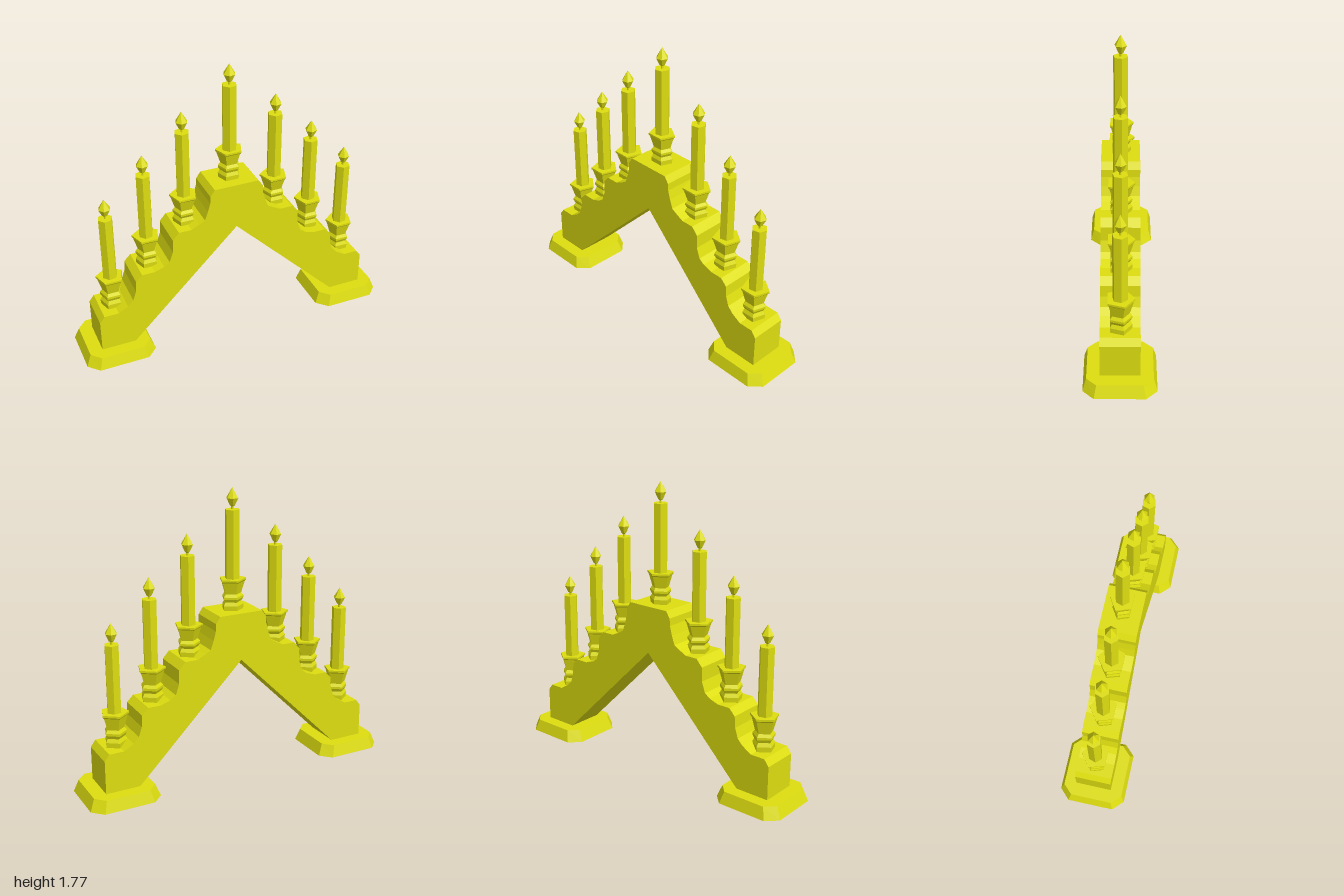
import * as THREE from 'three';

const yellow = new THREE.MeshStandardMaterial({ color: 0xdddd10 });
yellow.name = 'yellow';
yellow.flatShading = true;

// Faceted turned part from [radius, height] pairs
function turned(name, profile, sides, start) {
  const points = profile.map(([r, y]) => new THREE.Vector2(r, y));
  const mesh = new THREE.Mesh(new THREE.LatheGeometry(points, sides, start), yellow);
  mesh.name = name;
  return mesh;
}

// Stepped arch: half outline mirrored, extruded along z
function makeArch() {
  const outer = [
    [0.14, 1.04], [0.168, 1.0], [0.17, 0.955], [0.185, 0.9], [0.205, 0.845], [0.24, 0.825],
    [0.29, 0.8], [0.37, 0.8], [0.41, 0.755], [0.412, 0.67], [0.435, 0.605], [0.47, 0.58],
    [0.53, 0.56], [0.61, 0.56], [0.65, 0.52], [0.655, 0.45], [0.675, 0.39], [0.71, 0.355],
    [0.77, 0.32], [0.86, 0.32], [0.89, 0.28], [0.89, 0.07], [0.68, 0.07],
  ];
  const left = outer.map(([x, y]) => [-x, y]).reverse();
  const outline = [...outer, [0, 0.75], ...left].map(([x, y]) => new THREE.Vector2(x, y));
  const geometry = new THREE.ExtrudeGeometry(new THREE.Shape(outline), { depth: 0.23, bevelEnabled: false });
  geometry.translate(0, 0, -0.115);
  const arch = new THREE.Mesh(geometry, yellow);
  arch.name = 'steppedArch';
  return arch;
}

// Foot: octagonal slab, tapered towards the top
function makeFoot(side) {
  const w = 0.22, d = 0.212, c = 0.065;
  const corners = [
    [w - c, -d], [w, -d + c], [w, d - c], [w - c, d],
    [-w + c, d], [-w, d - c], [-w, -d + c], [-w + c, -d],
  ].map(([x, z]) => new THREE.Vector2(x, z));
  const geometry = new THREE.ExtrudeGeometry(new THREE.Shape(corners), { depth: 0.074, bevelEnabled: false });
  geometry.rotateX(-Math.PI / 2);
  const p = geometry.attributes.position;
  for (let i = 0; i < p.count; i++) {
    if (p.getY(i) > 0.03) p.setXYZ(i, p.getX(i) * 0.87, p.getY(i), p.getZ(i) * 0.9);
  }
  geometry.computeVertexNormals();
  const foot = new THREE.Mesh(geometry, yellow);
  foot.name = side > 0 ? 'leftFoot' : 'rightFoot';
  foot.position.x = side * 0.78;
  return foot;
}

// Candle in its holder, standing on a step at height base
function makeCandle(x, base, top, holderTop) {
  const group = new THREE.Group();
  group.name = 'candle';
  const h = holderTop - base;
  const holder = turned('candleHolder', [
    [0, 0], [0.068, 0], [0.07, 0.15], [0.057, 0.26], [0.069, 0.36], [0.069, 0.43],
    [0.055, 0.52], [0.078, 0.9], [0.086, 0.94], [0.086, 1], [0, 1],
  ].map(([r, y]) => [r, y * h]), 5, Math.PI);
  if (x === 0) holder.scale.z = 0.88;
  const t = top - base;
  const stick = turned('candleStick', [[0, h - 0.02], [0.045, h - 0.02], [0.045, t], [0, t]], 6, Math.PI / 2 + 0.2);
  const flame = turned('flame', [
    [0.007, t], [0.007, t + 0.015], [0.016, t + 0.022], [0.037, t + 0.065], [0, t + 0.127],
  ], 6, Math.PI / 2 + 0.2);
  group.add(holder, stick, flame);
  group.position.set(x, base, 0);
  return group;
}

export function createModel() {
  const model = new THREE.Group();
  model.name = 'candleArch';
  model.add(makeArch(), makeFoot(1), makeFoot(-1));
  model.add(makeCandle(0, 1.04, 1.643, 1.23));
  for (const side of [1, -1]) {
    model.add(makeCandle(side * 0.293, 0.8, 1.402, 0.987));
    model.add(makeCandle(side * 0.537, 0.56, 1.175, 0.76));
    model.add(makeCandle(side * 0.776, 0.32, 0.94, 0.527));
  }
  return model;
}
